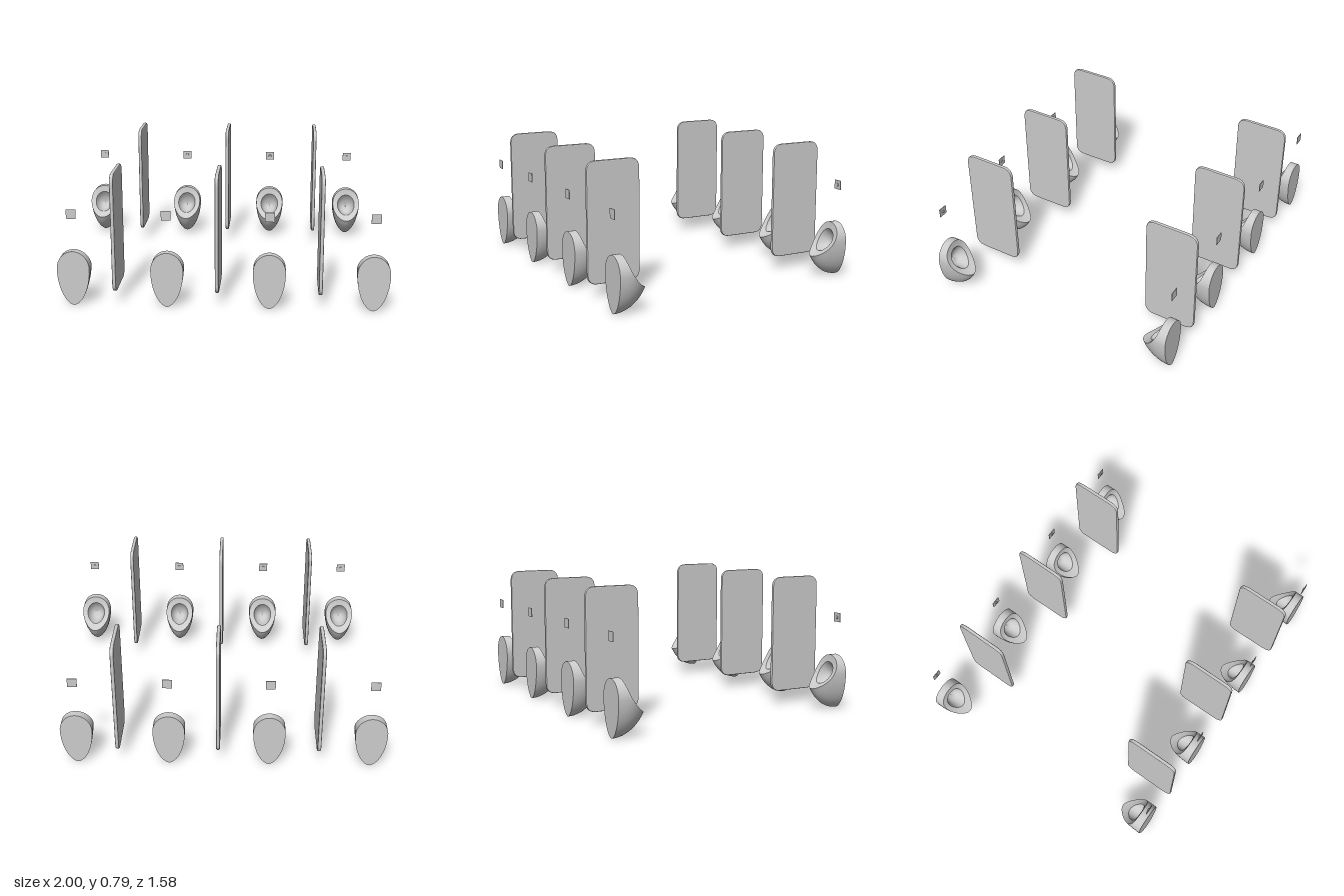
import * as THREE from 'three';

const grey = new THREE.MeshStandardMaterial({ color: 0xcccccc, side: THREE.DoubleSide });
const SEG = 48;

// Skin a list of closed loops; each loop is a function angle -> [x, y, z]
function skin(loops) {
  const pos = [], index = [];
  loops.forEach((loop, i) => {
    for (let j = 0; j < SEG; j++) {
      pos.push(...loop((j / SEG) * Math.PI * 2));
      if (i === loops.length - 1) continue;
      const k = (j + 1) % SEG;
      const a = i * SEG + j, b = i * SEG + k, c = a + SEG, d = b + SEG;
      index.push(a, c, b, b, c, d);
    }
  });
  const g = new THREE.BufferGeometry();
  g.setAttribute('position', new THREE.Float32BufferAttribute(pos, 3));
  g.setIndex(index);
  g.computeVertexNormals();
  return g;
}

function mesh(name, geometry) {
  const m = new THREE.Mesh(geometry, grey);
  m.name = name;
  return m;
}

// Egg outline of the wall side
function backEgg(t) {
  const s = Math.sin(t), c = Math.cos(t);
  const w = c < 0 ? Math.sign(s) * Math.pow(Math.abs(s), 1.15) : s;
  return [0.095 * w, 0.225 + c * (c > 0 ? 0.108 : 0.22)];
}

// Rim outline seen from the front
function rimEgg(t, k = 1) {
  return [0.093 * k * Math.sin(t), 0.234 + k * 0.099 * Math.cos(t)];
}

// Depth of the concave cut across the front of the bowl
function cutDepth(y) {
  const r = 0.25, drop = 0.36 - y;
  return 0.048 + r - Math.sqrt(r * r - drop * drop);
}

function urinal() {
  const g = new THREE.Group();
  g.name = 'urinal';

  // Flat wall side
  g.add(mesh('urinalBack', skin([0.001, 1].map((k) => (t) => {
    const [x, y] = backEgg(t);
    return [x * k, 0.2 + (y - 0.2) * k, 0];
  }))));

  // Bulging outer shell from wall to rim
  const shell = [];
  for (let i = 0; i <= 12; i++) {
    const s = i / 12;
    const f = (1 - Math.sqrt(1 - (0.88 * s) ** 2)) / (1 - Math.sqrt(1 - 0.88 ** 2));
    shell.push((t) => {
      const [bx, by] = backEgg(t), [rx, ry] = rimEgg(t);
      return [bx + (rx - bx) * f, by + (ry - by) * f, s * cutDepth(ry)];
    });
  }
  g.add(mesh('urinalShell', skin(shell)));

  // Rim lying on the concave cut
  g.add(mesh('urinalRim', skin([1, 0.88, 0.76, 0.64].map((k) => (t) => {
    const [x, y] = rimEgg(t, k);
    return [x, y - 0.02 * (1 - k), cutDepth(y)];
  }))));

  // Hollow bowl
  const bowl = [[0.64, 0], [0.58, 0.25], [0.5, 0.5], [0.38, 0.7], [0.2, 0.82], [0.001, 0.86]];
  g.add(mesh('urinalBowl', skin(bowl.map(([k, sink]) => (t) => {
    const y = rimEgg(t, 0.64)[1];
    const [x, yk] = rimEgg(t, k);
    const depth = cutDepth(y);
    return [x, yk - 0.0072 - sink * 0.03, depth + (0.02 - depth) * sink];
  }))));
  return g;
}

// Rounded divider panel standing in the YZ plane
function partition() {
  const w = 0.158, h = 0.348, r = 0.055, b = 0.006;
  const s = new THREE.Shape();
  s.moveTo(-w + r, -h);
  s.lineTo(w - r, -h);
  s.quadraticCurveTo(w, -h, w, -h + r);
  s.lineTo(w, h - r);
  s.quadraticCurveTo(w, h, w - r, h);
  s.lineTo(-w + r, h);
  s.quadraticCurveTo(-w, h, -w, h - r);
  s.lineTo(-w, -h + r);
  s.quadraticCurveTo(-w, -h, -w + r, -h);
  const geo = new THREE.ExtrudeGeometry(s, {
    depth: 0.01, bevelEnabled: true, bevelThickness: b, bevelSize: b, bevelSegments: 2, curveSegments: 8,
  });
  geo.translate(0, 0, -0.005).rotateY(Math.PI / 2);
  return mesh('partition', geo);
}

// Flush plate with a round sensor
function flushPlate() {
  const g = new THREE.Group();
  g.name = 'flushPlate';
  g.add(mesh('plate', new THREE.BoxGeometry(0.056, 0.055, 0.004)));
  const button = mesh('sensor', new THREE.CylinderGeometry(0.009, 0.01, 0.008, 20));
  button.rotation.x = Math.PI / 2;
  button.position.z = 0.003;
  g.add(button);
  return g;
}

// One wall's worth of fixtures, facing +z
function row() {
  const g = new THREE.Group();
  g.name = 'row';
  for (const x of [-0.905, -0.307, 0.285, 0.83]) {
    const u = urinal();
    u.position.set(x, 0, -0.778);
    const p = flushPlate();
    p.position.set(x, 0.558, -0.776);
    g.add(u, p);
  }
  for (const x of [-0.603, -0.005, 0.591]) {
    const p = partition();
    p.position.set(x, 0.441, -0.628);
    g.add(p);
  }
  return g;
}

export function createModel() {
  const model = new THREE.Group();
  model.name = 'washroomFixtures';
  const back = row(), front = row();
  back.name = 'backRow';
  front.name = 'frontRow';
  front.rotation.y = Math.PI;
  model.add(back, front);
  return model;
}
